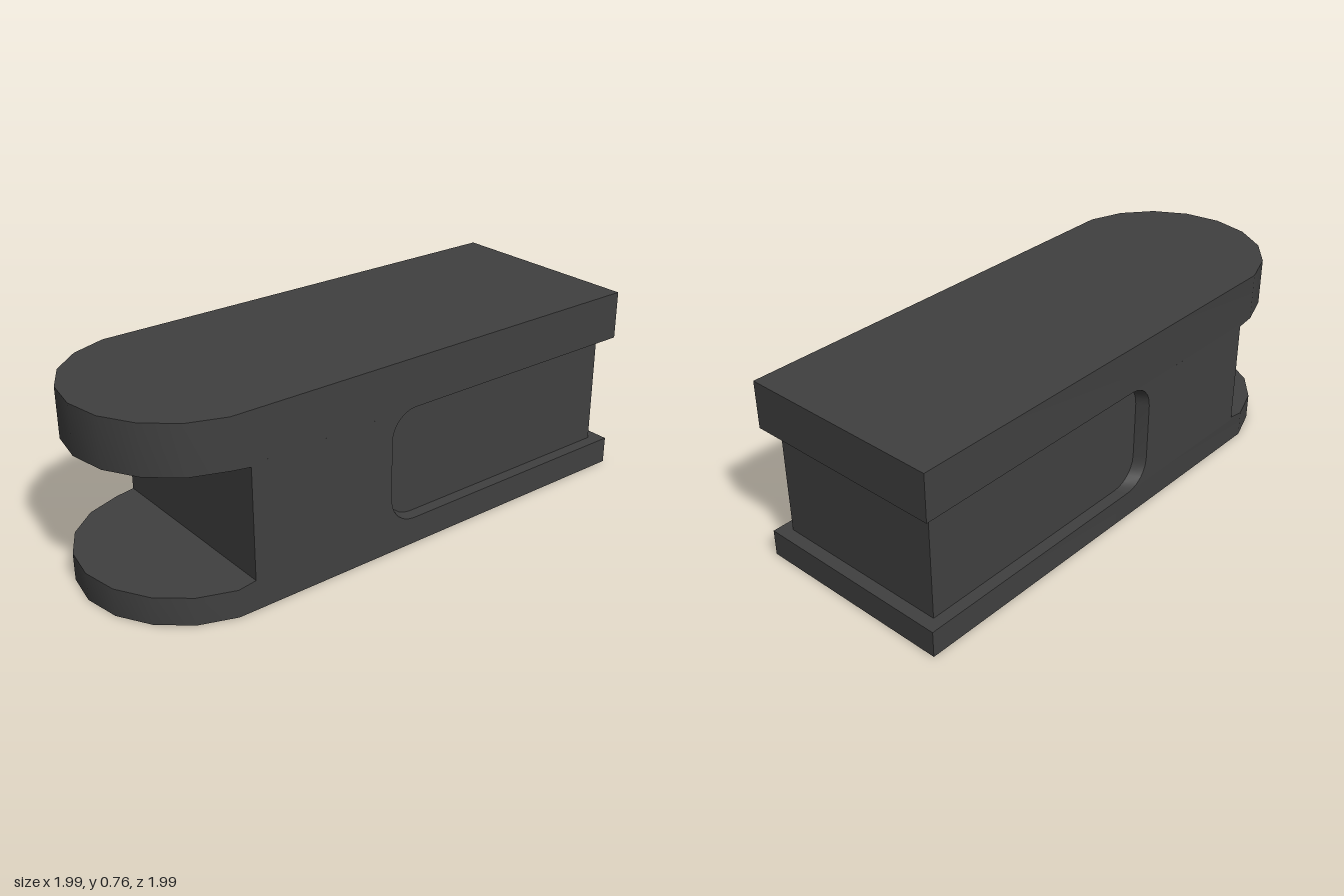
import * as THREE from 'three';
import { toCreasedNormals } from 'three/addons/utils/BufferGeometryUtils.js';

// Link body, built along local x (round end at -x), then turned 45 degrees.
const HALF = 0.424, CORE = 0.375;      // half width of the body and of the recessed core
const LOW = 0.11, HIGH = 0.57, TOP = 0.765;
const REAR = 0.986, CORE_REAR = 0.933;
const SLOT = -0.806, SLOT_LIP = -0.877;

export function createModel() {
  const group = new THREE.Group();
  group.name = 'linkBody';
  const material = new THREE.MeshStandardMaterial({ color: 0x404040 });
  const add = (name, geometry) => {
    const mesh = new THREE.Mesh(toCreasedNormals(geometry, 0.4), material);
    mesh.name = name;
    group.add(mesh);
  };
  const extrude = (shape, depth) =>
    new THREE.ExtrudeGeometry(shape, { depth, bevelEnabled: false, curveSegments: 3 });

  // Plates: square at the rear, faceted round nose in 20 degree steps
  const outline = [new THREE.Vector2(REAR, -HALF), new THREE.Vector2(REAR, HALF)];
  for (let deg = 80; deg >= -80; deg -= 20) {
    const a = THREE.MathUtils.degToRad(deg);
    outline.push(new THREE.Vector2(-0.804 - 0.4305 * Math.cos(a), 0.4305 * Math.sin(a)));
  }
  const plate = (name, y0, y1) =>
    add(name, extrude(new THREE.Shape(outline), y1 - y0).rotateX(-Math.PI / 2).translate(0, y0, 0));
  plate('bottomPlate', 0, LOW);
  plate('topPlate', HIGH, TOP);

  // Slot end shared by core and cheeks, with shallow sloped lips
  const closeAtSlot = (shape) => {
    shape.lineTo(SLOT_LIP, HIGH);
    shape.lineTo(SLOT, HIGH - 0.01);
    shape.lineTo(SLOT, LOW + 0.01);
    shape.closePath();
    return shape;
  };

  // Narrow core between the plates
  const core = new THREE.Shape();
  core.moveTo(SLOT_LIP, LOW);
  core.lineTo(CORE_REAR, LOW);
  core.lineTo(CORE_REAR, HIGH);
  add('core', extrude(closeAtSlot(core), 2 * CORE).translate(0, 0, -CORE));

  // Cheeks: fill out to full width and end in the rounded edge of the side pocket
  const r = 0.11, edge = -0.198;
  for (const side of [1, -1]) {
    const cheek = new THREE.Shape();
    cheek.moveTo(SLOT_LIP, LOW);
    cheek.lineTo(edge + r, LOW);
    cheek.absarc(edge + r, LOW + r, r, -Math.PI / 2, -Math.PI, true);
    cheek.lineTo(edge, HIGH - r);
    cheek.absarc(edge + r, HIGH - r, r, Math.PI, Math.PI / 2, true);
    const geometry = extrude(closeAtSlot(cheek), HALF - CORE)
      .translate(0, 0, side > 0 ? CORE : -HALF);
    // slope the pocket wall towards its floor
    const p = geometry.attributes.position;
    for (let i = 0; i < p.count; i++) {
      if (p.getX(i) > -0.3 && Math.abs(p.getZ(i)) < 0.4) p.setX(i, p.getX(i) + 0.021);
    }
    add(side > 0 ? 'leftCheek' : 'rightCheek', geometry);
  }

  group.rotation.y = Math.PI / 4;
  const model = new THREE.Group();
  model.name = 'link';
  model.add(group);
  return model;
}
